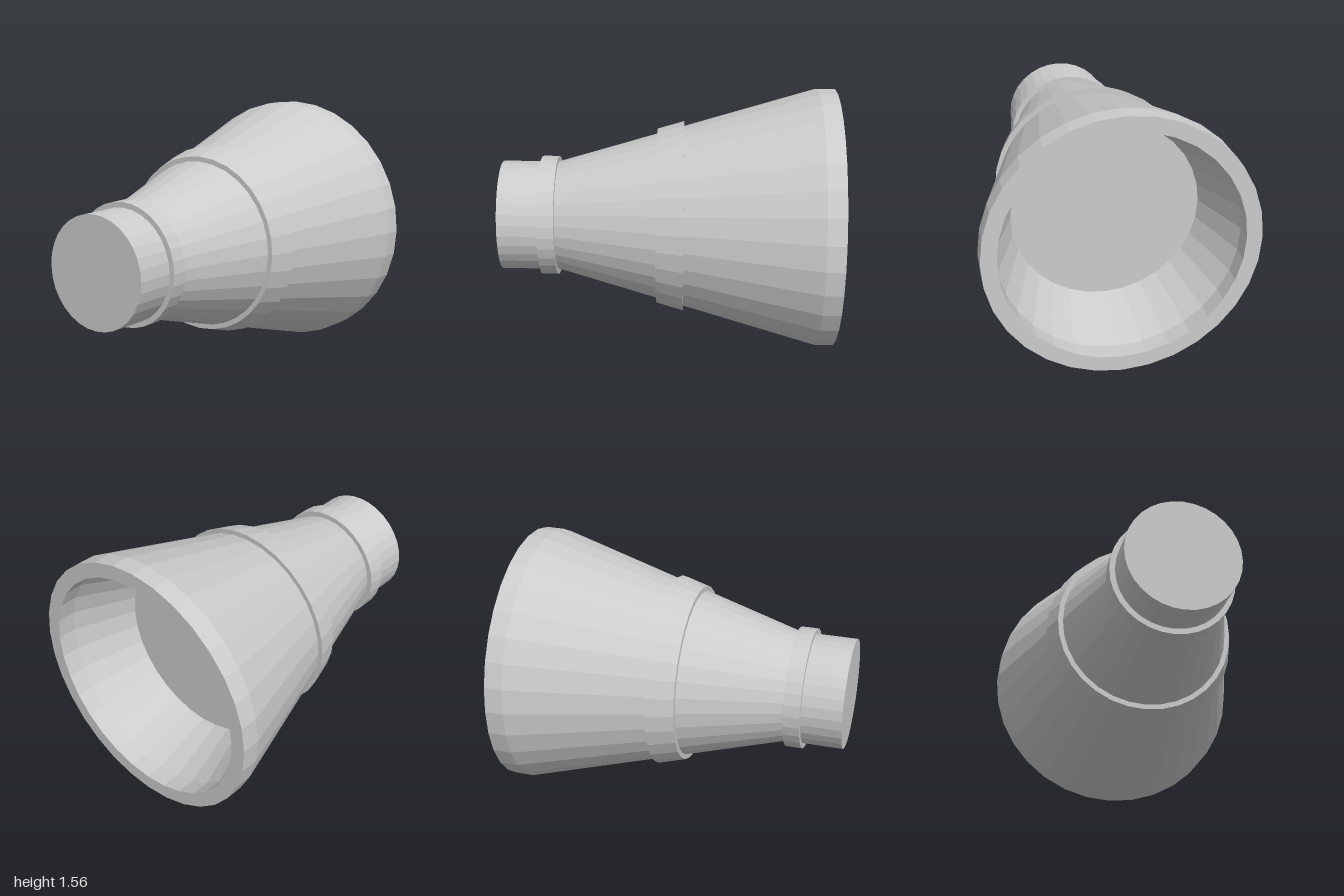
import * as THREE from 'three';

const SIDES = 32;
const CENTRE_Y = 0.78;

// Faceted solid of revolution about the z axis; profile is [radius, z], back to front
function revolve(name, profile) {
  const points = profile.map(([r, z]) => new THREE.Vector2(r, z));
  const geometry = new THREE.LatheGeometry(points, SIDES).rotateX(Math.PI / 2).toNonIndexed();
  geometry.computeVertexNormals();
  const material = new THREE.MeshStandardMaterial({ color: 0xcccccc, flatShading: true });
  const mesh = new THREE.Mesh(geometry, material);
  mesh.name = name;
  mesh.position.y = CENTRE_Y;
  return mesh;
}

export function createModel() {
  const group = new THREE.Group();
  group.name = 'taperedNozzle';

  // Main shell: recessed floor, flared cavity, thick rim, outer cone, closed neck
  group.add(revolve('body', [
    [0, -0.52], [0.55, -0.52], [0.69, -0.89], [0.69, -1],
    [0.78, -1], [0.78, -0.89], [0.33, 0.66], [0.33, 1], [0, 1],
  ]));

  // Conical band around the middle of the cone
  group.add(revolve('middleBand', [[0.54, -0.1], [0.58, -0.1], [0.534, 0.06], [0.49, 0.06]]));

  // Straight collar where the neck meets the cone
  group.add(revolve('neckCollar', [[0.32, 0.66], [0.362, 0.66], [0.362, 0.76], [0.32, 0.76]]));

  return group;
}
